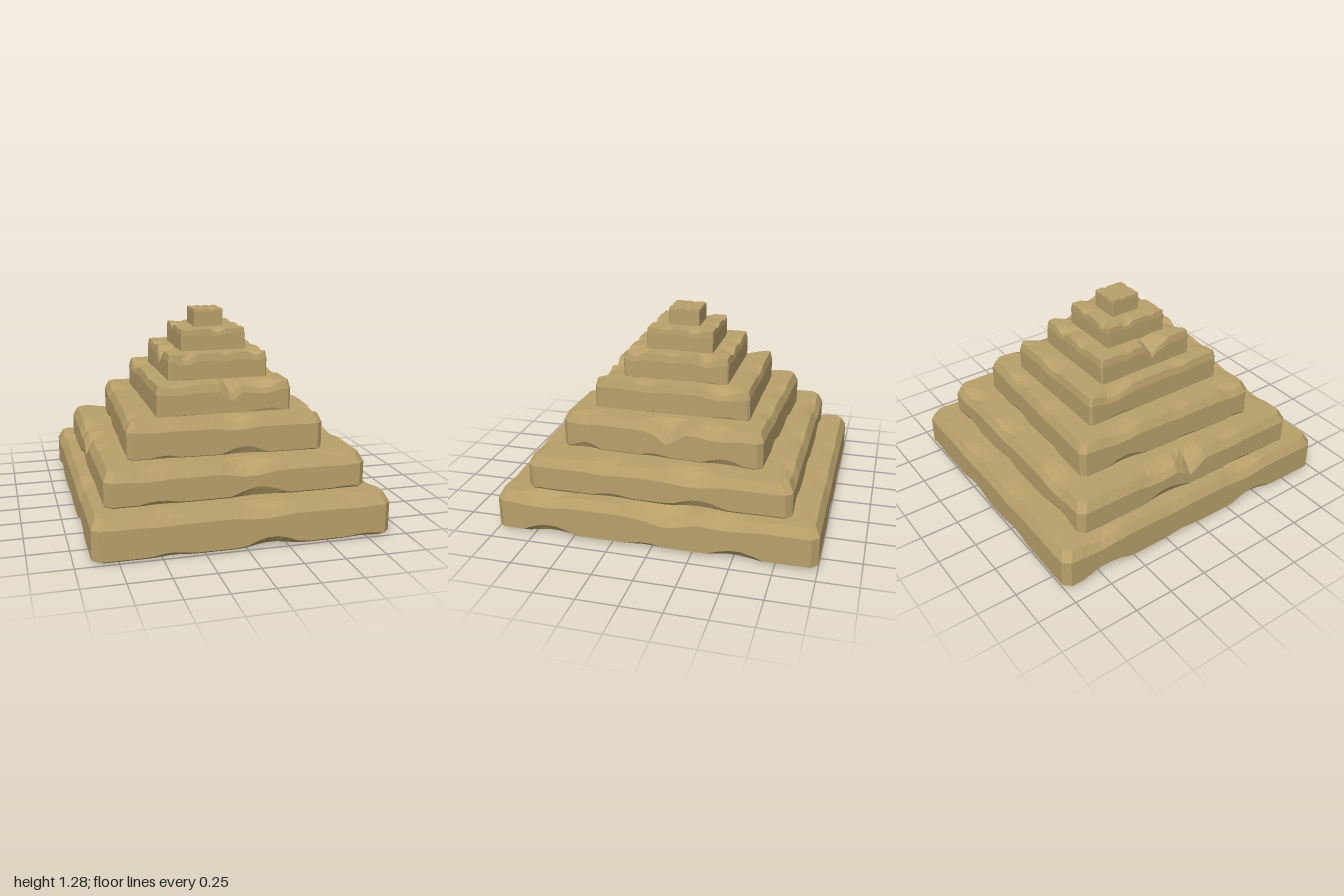
import * as THREE from 'three';

const SEG = 28; // points along each side of a tier

// hx, hz: half sizes; y0, y1: bottom and top; bevel: chamfer inset; drop: chamfer height;
// wave: depth of worn edge; len: wavelength; at: place of a dip on each side (front, +x, back, -x);
// notch: [side, position, depth, half width]; turn: rotation about y
const TIERS = [
  { name: 'baseTier', hx: 0.9, hz: 1.0, y0: 0, y1: 0.26, bevel: 0.032, drop: 0.06, wave: 0.03, len: 0.62, at: [0.1, 0.5, 0.3, -0.2], notch: [1, 0.1, 0.06, 0.2] },
  { name: 'secondTier', hx: 0.8, hz: 0.825, y0: 0.26, y1: 0.47, bevel: 0.03, drop: 0.06, wave: 0.045, len: 0.62, at: [0.07, 0.25, -0.1, 0.35], notch: [3, 0, 0.1, 0.12] },
  { name: 'turnedTier', hx: 0.605, hz: 0.64, y0: 0.47, y1: 0.69, bevel: 0.025, drop: 0.055, wave: 0.03, len: 0.5, at: [0.07, 0.4, 0.2, 0.1], notch: [1, 0.05, 0.1, 0.12], turn: -0.04 },
  { name: 'fourthTier', hx: 0.425, hz: 0.495, y0: 0.69, y1: 0.875, bevel: 0.012, drop: 0.05, wave: 0.045, len: 0.55, at: [0.25, 0.36, 0, 0.2], notch: [0, 0.05, 0.09, 0.07] },
  { name: 'fifthTier', hx: 0.318, hz: 0.338, y0: 0.875, y1: 1.035, bevel: 0.008, drop: 0.045, wave: 0.04, len: 0.26, at: [-0.22, 0.22, 0.1, -0.15], notch: [3, 0.04, 0.08, 0.06] },
  { name: 'sixthTier', hx: 0.208, hz: 0.215, y0: 1.035, y1: 1.17, bevel: 0.004, drop: 0.035, wave: 0.025, len: 0.2, at: [0.03, 0.1, -0.05, 0.12] },
  { name: 'capBlock', hx: 0.095, hz: 0.1, y0: 1.17, y1: 1.28, bevel: 0.002, drop: 0.015, wave: 0.009, len: 0.07, at: [0.02, 0.03, 0, 0.04] },
];

// Worn-edge depth at position u along a side, fading out at the corners
function wear(t, side, u, half, shift) {
  const k = (2 * Math.PI) / t.len;
  const d = u - t.at[side] - shift;
  const w = 0.65 * Math.cos(k * d) + 0.35 * Math.cos(0.57 * k * d + side);
  const fade = Math.min(1, (half - Math.abs(u)) / (0.2 * half));
  return Math.max(0, w) * Math.max(0, fade);
}

function notchDepth(t, side, u) {
  if (!t.notch || t.notch[0] !== side) return 0;
  return t.notch[2] * Math.max(0, 1 - Math.abs(u - t.notch[1]) / t.notch[3]);
}

function tierGeometry(t) {
  const corner = t.bevel * 1.3;
  const sink = t.y0 > 0 ? 0.03 : 0; // each upper tier settles into the one below
  const shelf = Math.min(0.13, t.hx * 0.4);
  const bottom = t.y0 - sink;
  const low = 0.05 * Math.min(1, t.bevel / 0.03);

  // Rings from underside to top: [inset, height rule(top wear, notch, bottom wear)]
  const rings = [
    [shelf, () => bottom],
    [t.bevel, (w, n, b) => bottom + b * low * 0.5],
    [0, (w, n, b) => bottom + sink * 0.6 + low * (0.4 + b)],
    [0, (w, n) => t.y1 - t.drop - w * 0.5 - n * 0.8],
    [t.bevel, (w, n) => t.y1 - w - n],
    [t.bevel + (shelf - t.bevel) * 0.5, (w, n) => t.y1 - w * 0.35 - n * 0.5],
    [shelf, () => t.y1],
  ];
  const pos = [], index = [];
  const count = 4 * (SEG + 1);
  for (const [inset, height] of rings) {
    for (let side = 0; side < 4; side++) {
      const along = side % 2 ? t.hz : t.hx;
      const out = (side % 2 ? t.hx : t.hz) - inset;
      for (let i = 0; i <= SEG; i++) {
        const s = (2 * i) / SEG - 1;
        const u = s * along;
        const p = s * (along - inset - corner);
        const y = height(t.wave * wear(t, side, u, along, 0), notchDepth(t, side, u),
          wear(t, side, u, along, t.len * 0.1));
        const [x, z] = [[p, out], [out, -p], [-p, -out], [-out, p]][side];
        pos.push(x, y, z);
      }
    }
  }
  // Walls, chamfers and worn shelf
  for (let r = 0; r < rings.length - 1; r++) {
    for (let i = 0; i < count; i++) {
      const j = (i + 1) % count;
      const a = r * count + i, b = r * count + j;
      index.push(a, b, b + count, a, b + count, a + count);
    }
  }
  // Flat middle of the underside and the top
  const under = pos.length / 3, over = under + 1;
  pos.push(0, bottom, 0, 0, t.y1, 0);
  const last = (rings.length - 1) * count;
  for (let i = 0; i < count; i++) {
    const j = (i + 1) % count;
    index.push(j, i, under, last + i, last + j, over);
  }
  const g = new THREE.BufferGeometry();
  g.setAttribute('position', new THREE.Float32BufferAttribute(pos, 3));
  g.setIndex(index);
  g.computeVertexNormals();
  return g;
}

export function createModel() {
  const group = new THREE.Group();
  group.name = 'steppedPyramid';
  const stone = new THREE.MeshStandardMaterial({ color: 0xb8a06a, flatShading: true });
  for (const t of TIERS) {
    const mesh = new THREE.Mesh(tierGeometry(t), stone);
    mesh.name = t.name;
    mesh.rotation.y = t.turn || 0;
    group.add(mesh);
  }
  return group;
}
